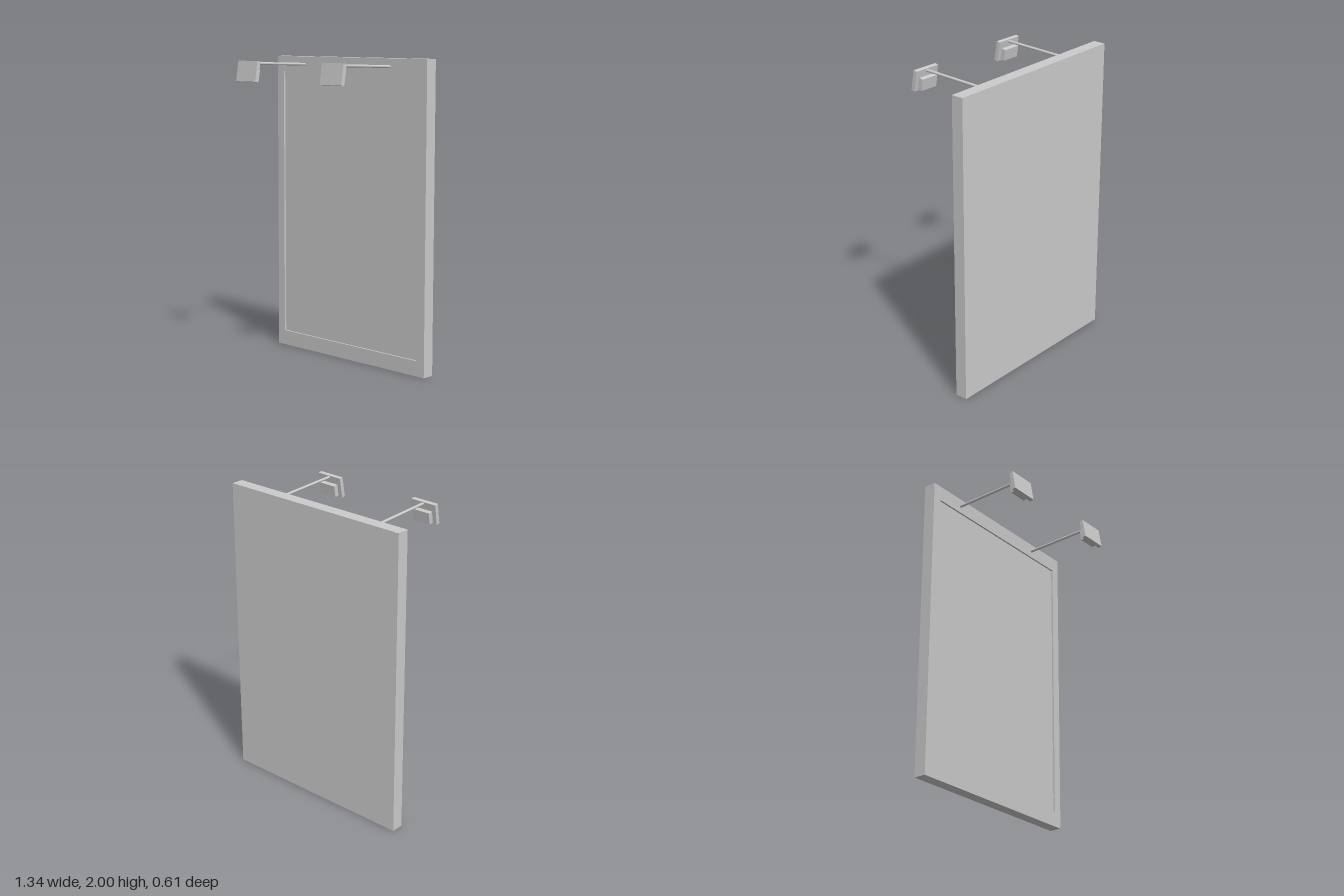
import * as THREE from 'three';

const mat = new THREE.MeshStandardMaterial({ color: 0xcccccc });

function add(parent, name, geometry, x = 0, y = 0, z = 0) {
  const mesh = new THREE.Mesh(geometry, mat);
  mesh.name = name;
  mesh.position.set(x, y, z);
  parent.add(mesh);
  return mesh;
}

// Rectangle path centred on the origin
function rect(PathType, w, h) {
  return new PathType([[-w, -h], [w, -h], [w, h], [-w, h]]
    .map(([x, y]) => new THREE.Vector2(x / 2, y / 2)));
}

// Board with a raised border around a shallow recessed face
function createBoard() {
  const board = new THREE.Group();
  board.name = 'board';
  const back = -0.306, front = -0.225, recess = 0.012;
  const w = 1.34, h = 2, border = 0.06, borderY = 0.1;

  const outline = rect(THREE.Shape, w, h);
  outline.holes.push(rect(THREE.Path, w - 2 * border, h - 2 * borderY));
  const depth = front - back;
  add(board, 'frame', new THREE.ExtrudeGeometry(outline, { depth, bevelEnabled: false }), 0, h / 2, back);

  const panelDepth = depth - recess;
  add(board, 'panel', new THREE.BoxGeometry(w - 2 * border, h - 2 * borderY, panelDepth),
    0, h / 2, back + panelDepth / 2);
  return board;
}

// Lamp on a long arm, its head tilted back toward the board
function createLamp(x) {
  const lamp = new THREE.Group();
  lamp.name = 'lamp';

  const start = new THREE.Vector3(x - 0.002, 1.948, -0.235);
  const end = new THREE.Vector3(x + 0.004, 1.964, 0.262);
  const dir = end.clone().sub(start);
  const mid = start.clone().add(end).multiplyScalar(0.5);
  const arm = add(lamp, 'arm', new THREE.CylinderGeometry(0.009, 0.009, dir.length(), 12), ...mid.toArray());
  arm.quaternion.setFromUnitVectors(new THREE.Vector3(0, 1, 0), dir.normalize());

  const head = new THREE.Group();
  head.name = 'lampHead';
  head.position.set(x, 1.912, 0.281);
  head.rotation.set(-0.165, -0.015, 0);
  add(head, 'lampPlate', new THREE.BoxGeometry(0.186, 0.133, 0.026));
  add(head, 'lampBulbBox', new THREE.BoxGeometry(0.127, 0.076, 0.03), 0, -0.02, -0.028);
  lamp.add(head);
  return lamp;
}

export function createModel() {
  const model = new THREE.Group();
  model.name = 'litBoard';
  model.add(createBoard());
  for (const x of [-0.403, 0.364]) model.add(createLamp(x));
  return model;
}
